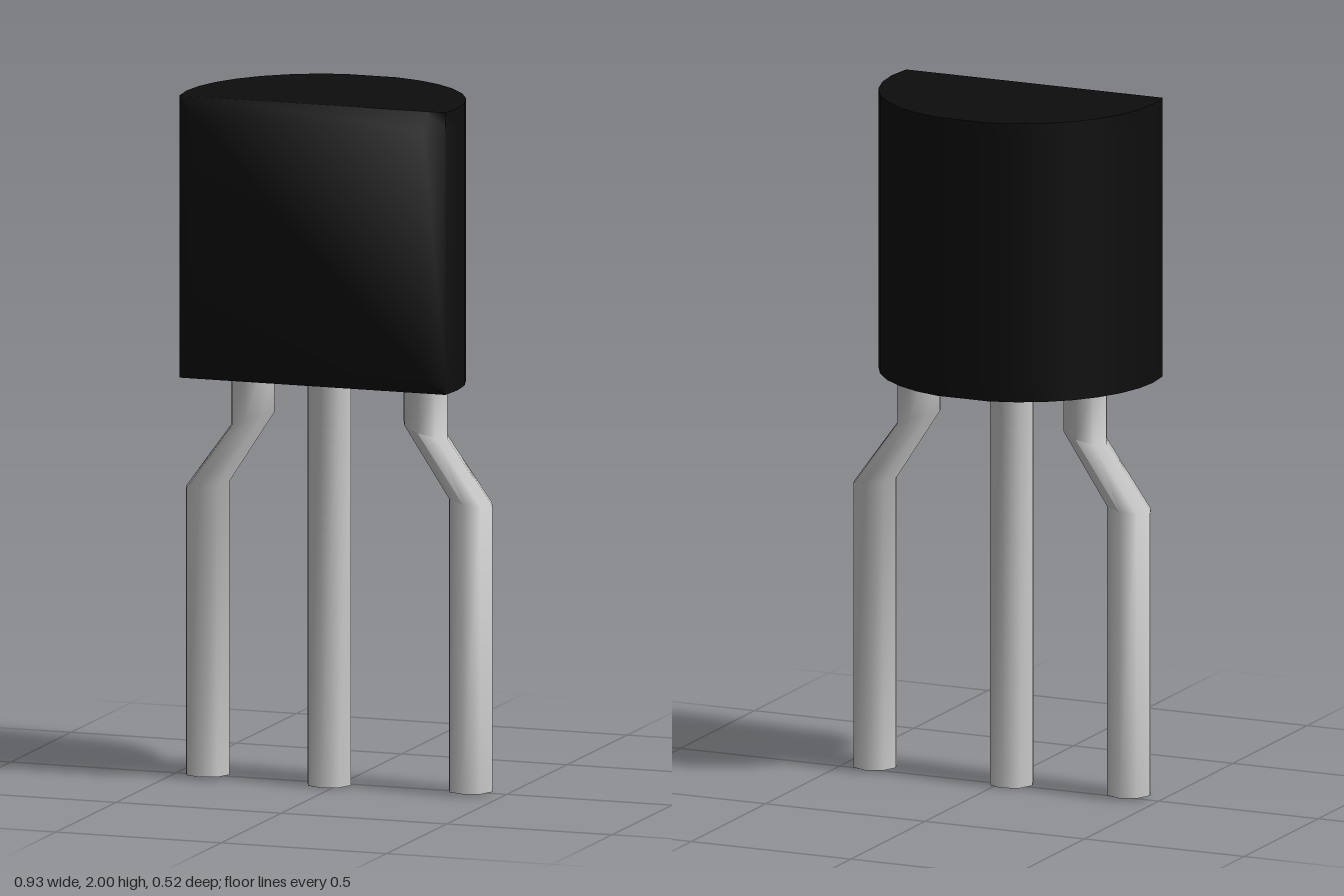
import * as THREE from 'three';
import { toCreasedNormals } from 'three/addons/utils/BufferGeometryUtils.js';

const CREASE = Math.PI / 3;
const BOTTOM = 1.185, TOP = 2, BEVEL = 0.05;
const FRONT = 0.262, SHOULDER = 0.22;

// D-shaped case: round back, flat front with chamfers on all four front edges
function caseGeometry() {
  const cx = -0.008, cz = 0.14, r = 0.41;
  const points = [new THREE.Vector2(cx - 0.351, -FRONT), new THREE.Vector2(cx + 0.351, -FRONT)];
  for (let i = -1; i <= 17; i++) {
    if (i === 8) continue; // flat facet in the middle of the back
    const a = (i * Math.PI) / 16;
    points.push(new THREE.Vector2(cx + r * Math.cos(a), -cz + r * Math.sin(a)));
  }
  const geo = new THREE.ExtrudeGeometry(new THREE.Shape(points), { depth: 3, steps: 3, bevelEnabled: false });
  geo.rotateX(-Math.PI / 2);

  // Place the four layers; the end layers stop at the chamfer shoulder
  const levels = [BOTTOM, BOTTOM + BEVEL, TOP - BEVEL, TOP];
  const p = geo.attributes.position;
  for (let i = 0; i < p.count; i++) {
    const layer = Math.round(p.getY(i));
    p.setY(i, levels[layer]);
    if (layer === 0 || layer === 3) p.setZ(i, Math.min(p.getZ(i), SHOULDER));
  }
  return toCreasedNormals(geo, CREASE);
}

// Eight-sided wire; each ring is [x, y, slope], with slope tilting the mitre
function legGeometry(rings) {
  const r = 0.066, n = rings.length - 1;
  const geo = new THREE.CylinderGeometry(r, r, n, 8, n);
  const p = geo.attributes.position;
  for (let i = 0; i < p.count; i++) {
    const [x, y, slope] = rings[Math.round(p.getY(i) + n / 2)];
    const dx = p.getX(i);
    p.setXYZ(i, x + dx, y + dx * slope, p.getZ(i) + 0.019);
  }
  return toCreasedNormals(geo, CREASE);
}

export function createModel() {
  const group = new THREE.Group();
  const black = new THREE.MeshStandardMaterial({ color: 0x0d0d0d });
  const metal = new THREE.MeshStandardMaterial({ color: 0xcccccc });

  const add = (name, geometry, material) => {
    const mesh = new THREE.Mesh(geometry, material);
    mesh.name = name;
    group.add(mesh);
  };

  add('case', caseGeometry(), black);
  add('middleLeg', legGeometry([[-0.03, 0, 0], [-0.03, 1.2, 0]]), metal);

  // Outer legs splay away from the middle one
  for (const [name, s] of [['leftLeg', 1], ['rightLeg', -1]]) {
    const low = s * 0.398, high = s * 0.261;
    add(name, legGeometry([
      [low, 0.008, 0],
      [low, 0.845, -s * 0.17],
      [high, 1.043, -s * 0.34],
      [high, 1.2, 0],
    ]), metal);
  }
  return group;
}
